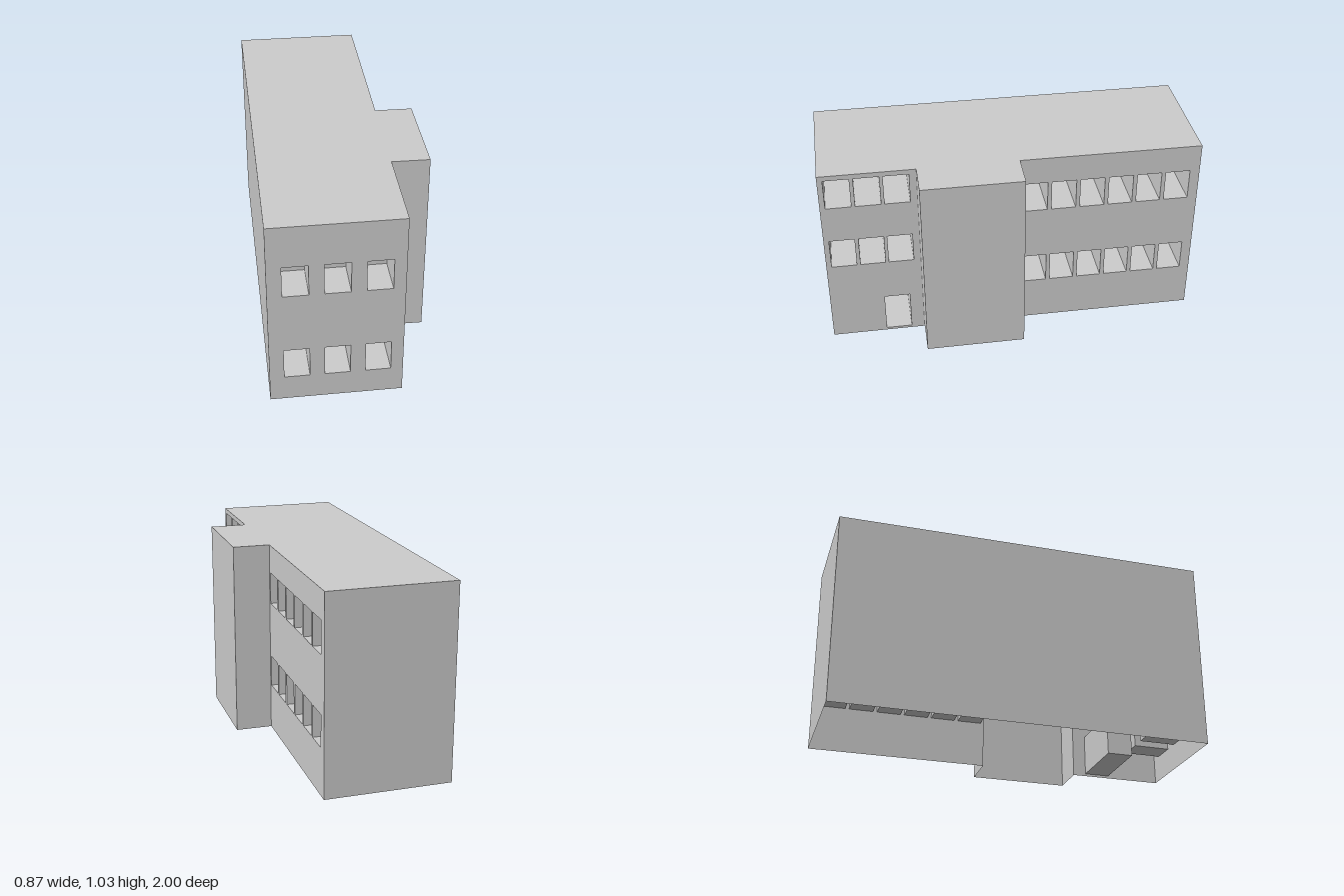
import * as THREE from 'three';

const H = 1.035;
const material = new THREE.MeshStandardMaterial({ color: 0xcccccc, side: THREE.DoubleSide });

// Footprint corners [x, z], anticlockwise from the front left as seen in plan
const corners = [
  [-0.42, 1], [0.245, 0.99], [0.24, 0.49], [0.435, 0.49],
  [0.43, -0.04], [0.235, -0.04], [0.228, -1], [-0.437, -0.995],
];

// Openings per wall: u along the wall, v up, width, height, depth
function windowGrid(starts, rows, w, h, depth) {
  return rows.flatMap(v => starts.map(u => ({ name: 'windowRecess', u, v, w, h, depth })));
}
const openings = {
  0: windowGrid([0.073, 0.275, 0.477], [0.14, 0.64], 0.127, 0.17, 0.2),
  1: [
    ...windowGrid([0.028, 0.18, 0.33], [0.467, 0.84], 0.132, 0.168, 0.4),
    { name: 'doorRecess', u: 0.292, v: 0.014, w: 0.137, h: 0.22, depth: 0.35 },
  ],
  5: windowGrid([0, 1, 2, 3, 4, 5].map(i => 0.018 + i * 0.152), [0.25, 0.717], 0.13, 0.169, 0.42),
};

// Box without its outer face
function recess({ name, u, v, w, h, depth }) {
  const geometry = new THREE.BoxGeometry(w, h, depth);
  const index = Array.from(geometry.index.array);
  index.splice(24, 6);
  geometry.setIndex(index);
  geometry.clearGroups();
  const mesh = new THREE.Mesh(geometry, material);
  mesh.name = name;
  mesh.position.set(u + w / 2, v + h / 2, -depth / 2);
  return mesh;
}

// Flat wall from p to q, pierced by its openings
function wall(p, q, holes = []) {
  const dx = q[0] - p[0], dz = q[1] - p[1], length = Math.hypot(dx, dz);
  const rect = (Type, u, v, w, h) => new Type([
    new THREE.Vector2(u, v), new THREE.Vector2(u + w, v),
    new THREE.Vector2(u + w, v + h), new THREE.Vector2(u, v + h),
  ]);
  const shape = rect(THREE.Shape, 0, 0, length, H);
  shape.holes = holes.map(o => rect(THREE.Path, o.u, o.v, o.w, o.h));
  const panel = new THREE.Mesh(new THREE.ShapeGeometry(shape), material);
  panel.name = 'wallPanel';
  const group = new THREE.Group();
  group.add(panel, ...holes.map(recess));
  group.position.set(p[0], 0, p[1]);
  group.rotation.y = Math.atan2(-dz, dx);
  return group;
}

export function createModel() {
  const model = new THREE.Group();
  model.name = 'building';

  // Walls around the footprint, open underneath
  const names = ['frontWall', 'frontSideWall', 'towerFront', 'towerSide',
    'towerBack', 'rearSideWall', 'backWall', 'plainSideWall'];
  corners.forEach((p, i) => {
    const side = wall(p, corners[(i + 1) % corners.length], openings[i]);
    side.name = names[i];
    model.add(side);
  });

  // Flat roof
  const outline = new THREE.Shape(corners.map(([x, z]) => new THREE.Vector2(x, -z)));
  const roof = new THREE.Mesh(new THREE.ShapeGeometry(outline).rotateX(-Math.PI / 2), material);
  roof.name = 'roof';
  roof.position.y = H;
  model.add(roof);

  return model;
}
